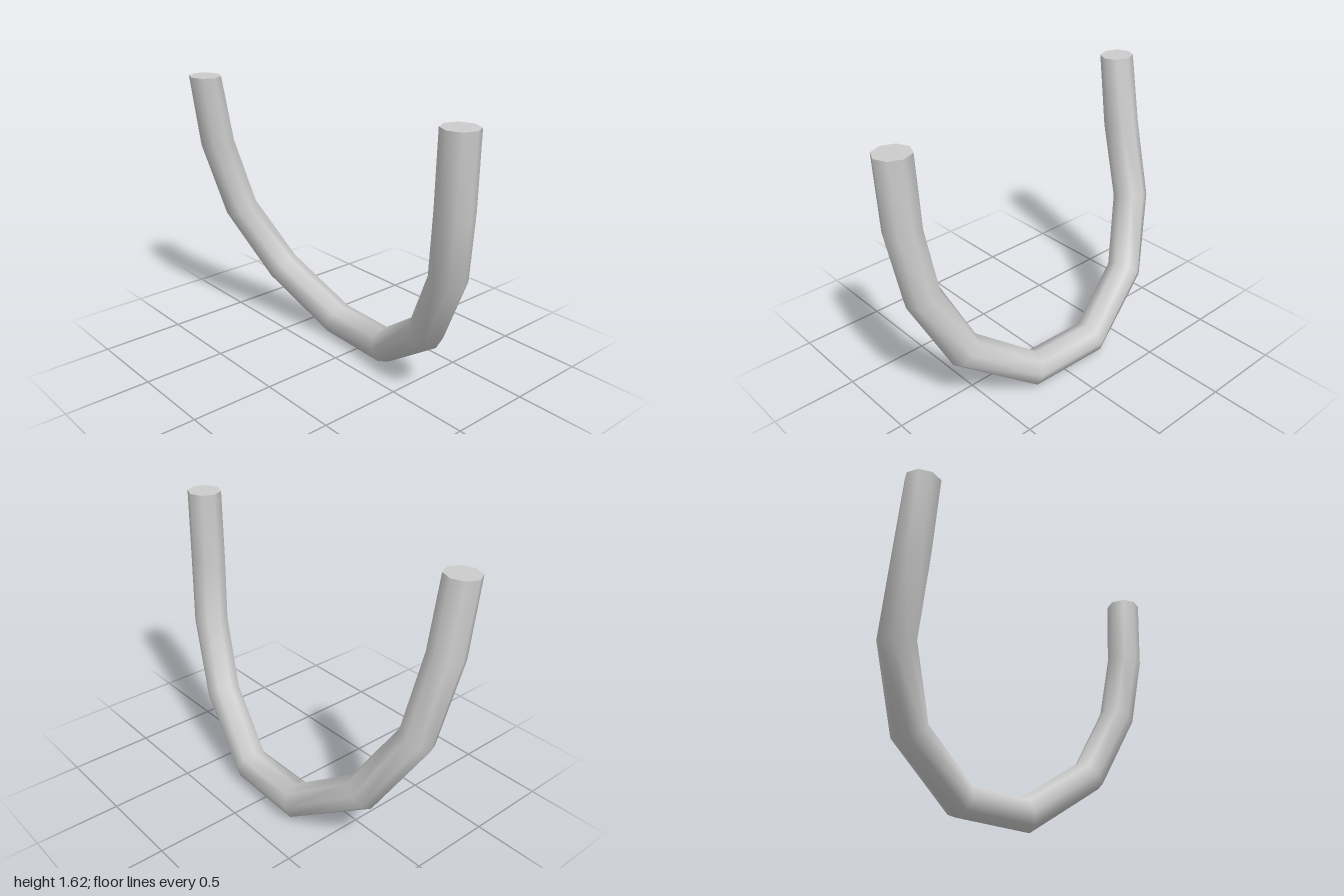
import * as THREE from 'three';

const SIDES = 8;
const RADIUS = 0.104;

// Centre line of the bent bar, from the front end round to the back end
const PATH = [
  [-0.008, 1.62, 0.893], [0.0, 1.2, 0.88], [0.04, 0.81, 0.825], [0.11, 0.4, 0.625],
  [0.21, 0.103, 0.21],
  [0.225, 0.105, -0.24], [0.115, 0.365, -0.655], [-0.05, 0.755, -0.868],
  [-0.185, 1.2, -0.897], [-0.25, 1.62, -0.896],
].map((p) => new THREE.Vector3(...p));

// Octagonal cross-section square to the path; the two ends are cut level
function makeRing(i) {
  const last = PATH.length - 1;
  const tangent = new THREE.Vector3();
  if (i === 0) tangent.set(0, -1, 0);
  else if (i === last) tangent.set(0, 1, 0);
  else {
    tangent.subVectors(PATH[i], PATH[i - 1]).normalize();
    tangent.add(new THREE.Vector3().subVectors(PATH[i + 1], PATH[i]).normalize()).normalize();
  }
  const side = new THREE.Vector3(1, 0, 0);
  side.addScaledVector(tangent, -side.dot(tangent)).normalize();
  const up = new THREE.Vector3().crossVectors(tangent, side);
  const sideRadius = i === last ? 0.092 : i === 0 ? 0.099 : RADIUS;
  return Array.from({ length: SIDES }, (_, j) => {
    const a = (j / SIDES) * Math.PI * 2;
    return PATH[i].clone()
      .addScaledVector(side, Math.cos(a) * sideRadius)
      .addScaledVector(up, Math.sin(a) * RADIUS);
  });
}

function toGeometry(points, index) {
  const geometry = new THREE.BufferGeometry().setFromPoints(points);
  geometry.setIndex(index);
  geometry.computeVertexNormals();
  return geometry;
}

// Flat fan closing one end
function capGeometry(ring, reversed) {
  const index = [];
  for (let j = 1; j < SIDES - 1; j++) {
    index.push(0, ...(reversed ? [j + 1, j] : [j, j + 1]));
  }
  return toGeometry(ring, index);
}

export function createModel() {
  const group = new THREE.Group();
  group.name = 'curvedBar';
  const material = new THREE.MeshStandardMaterial({ color: 0xcccccc });
  const rings = PATH.map((_, i) => makeRing(i));

  // Smooth tube wall skinned between the rings
  const index = [];
  for (let i = 0; i < rings.length - 1; i++) {
    for (let j = 0; j < SIDES; j++) {
      const k = (j + 1) % SIDES;
      const a = i * SIDES + j, b = i * SIDES + k;
      index.push(a, b, a + SIDES, b, b + SIDES, a + SIDES);
    }
  }

  const add = (name, geometry) => {
    const mesh = new THREE.Mesh(geometry, material);
    mesh.name = name;
    group.add(mesh);
  };
  add('tubeWall', toGeometry(rings.flat(), index));
  add('frontEndCap', capGeometry(rings[0], true));
  add('backEndCap', capGeometry(rings[rings.length - 1], false));
  return group;
}
